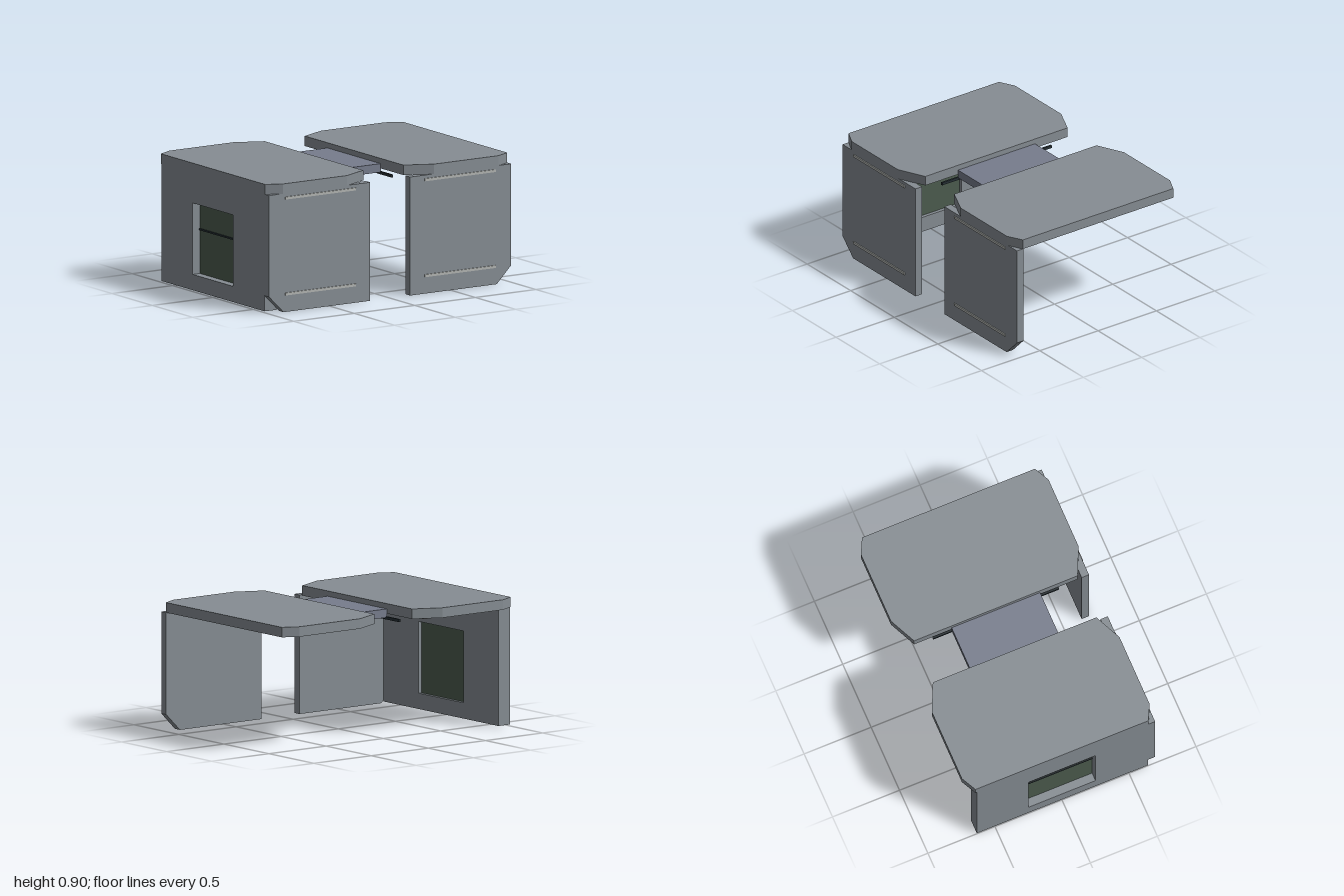
import * as THREE from 'three';

const mat = (color) => new THREE.MeshStandardMaterial({ color, flatShading: true });
const hull = mat(0x868d93);
const trim = mat(0xb2b5b2);
const bridgeGrey = mat(0x777d8d);
const dark = mat(0x263035);
const glass = mat(0x4c5c4e);

function add(parent, name, geometry, material) {
  const mesh = new THREE.Mesh(geometry, material);
  mesh.name = name;
  parent.add(mesh);
  return mesh;
}

// Box given by its minimum and maximum on each axis
function block(parent, name, [x0, x1], [y0, y1], [z0, z1], material) {
  const mesh = add(parent, name, new THREE.BoxGeometry(x1 - x0, y1 - y0, z1 - z0), material);
  mesh.position.set((x0 + x1) / 2, (y0 + y1) / 2, (z0 + z1) / 2);
  return mesh;
}

const outline = (points) => new THREE.Shape(points.map(([x, y]) => new THREE.Vector2(x, y)));
const extrude = (shape, depth) => new THREE.ExtrudeGeometry(shape, { depth, bevelEnabled: false });
const span = (s, a, b) => (s > 0 ? [a, b] : [-b, -a]);

function createHalf(s) {
  const half = new THREE.Group();
  half.name = s > 0 ? 'leftHalf' : 'rightHalf';

  // Roof slab with cut corners, laid flat
  const roof = extrude(outline([
    [0.165, -0.61], [0.36, -0.7], [0.89, -0.7], [1, -0.645],
    [1, 0.645], [0.89, 0.7], [0.36, 0.7], [0.165, 0.61],
  ].map(([x, y]) => [s * x, y])), 0.07);
  roof.rotateX(-Math.PI / 2).translate(0, 0.83, 0);
  add(half, 'roofSlab', roof, hull);

  // Front panel with one cut lower corner
  const panel = extrude(outline([
    [0.165, 0], [0.88, 0], [1, 0.12], [1, 0.83], [0.165, 0.83],
  ].map(([x, y]) => [s * x, y])), 0.055);
  panel.translate(0, 0, 0.64);
  add(half, 'frontPanel', panel, hull);

  // Light strips on the front panel and under the roof
  const stripX = span(s, 0.285, 0.87);
  for (const y of [0.125, 0.797]) {
    block(half, 'frontStrip', stripX, [y - 0.009, y + 0.009], [0.69, 0.702], trim);
  }
  for (const side of [-1, 1]) {
    for (const z of [0.487, 0.532, 0.578]) {
      block(half, 'ceilingStrip', stripX, [0.813, 0.832],
        [side * z - 0.011, side * z + 0.011], trim);
    }
  }

  // Dark rail along the inner edge
  block(half, 'rail', span(s, 0.159, 0.172), [0.79, 0.81], [-0.47, 0.47], dark);
  return half;
}

export function createModel() {
  const model = new THREE.Group();
  model.name = 'shelter';
  model.add(createHalf(1), createHalf(-1));

  // Bridge between the two roofs
  block(model, 'bridge', [-0.166, 0.166], [0.803, 0.863], [-0.33, 0.33], bridgeGrey);

  // Side wall with a window opening
  const wall = new THREE.Group();
  wall.name = 'sideWall';
  const shape = outline([[-0.64, 0.01], [0.635, 0.01], [0.635, 0.83], [-0.64, 0.83]]);
  shape.holes.push(new THREE.Path(
    [[-0.25, 0.12], [-0.25, 0.62], [0.25, 0.62], [0.25, 0.12]]
      .map(([x, y]) => new THREE.Vector2(x, y))));
  const wallGeometry = extrude(shape, 0.1);
  wallGeometry.rotateY(Math.PI / 2).translate(-1, 0, 0);
  add(wall, 'wallPanel', wallGeometry, hull);

  // Window pane and its outer crossbar
  block(wall, 'windowPane', [-0.94, -0.925], [0.12, 0.62], [-0.25, 0.25], glass);
  block(wall, 'windowBar', [-0.948, -0.94], [0.425, 0.437], [-0.25, 0.25], dark);
  model.add(wall);

  return model;
}
